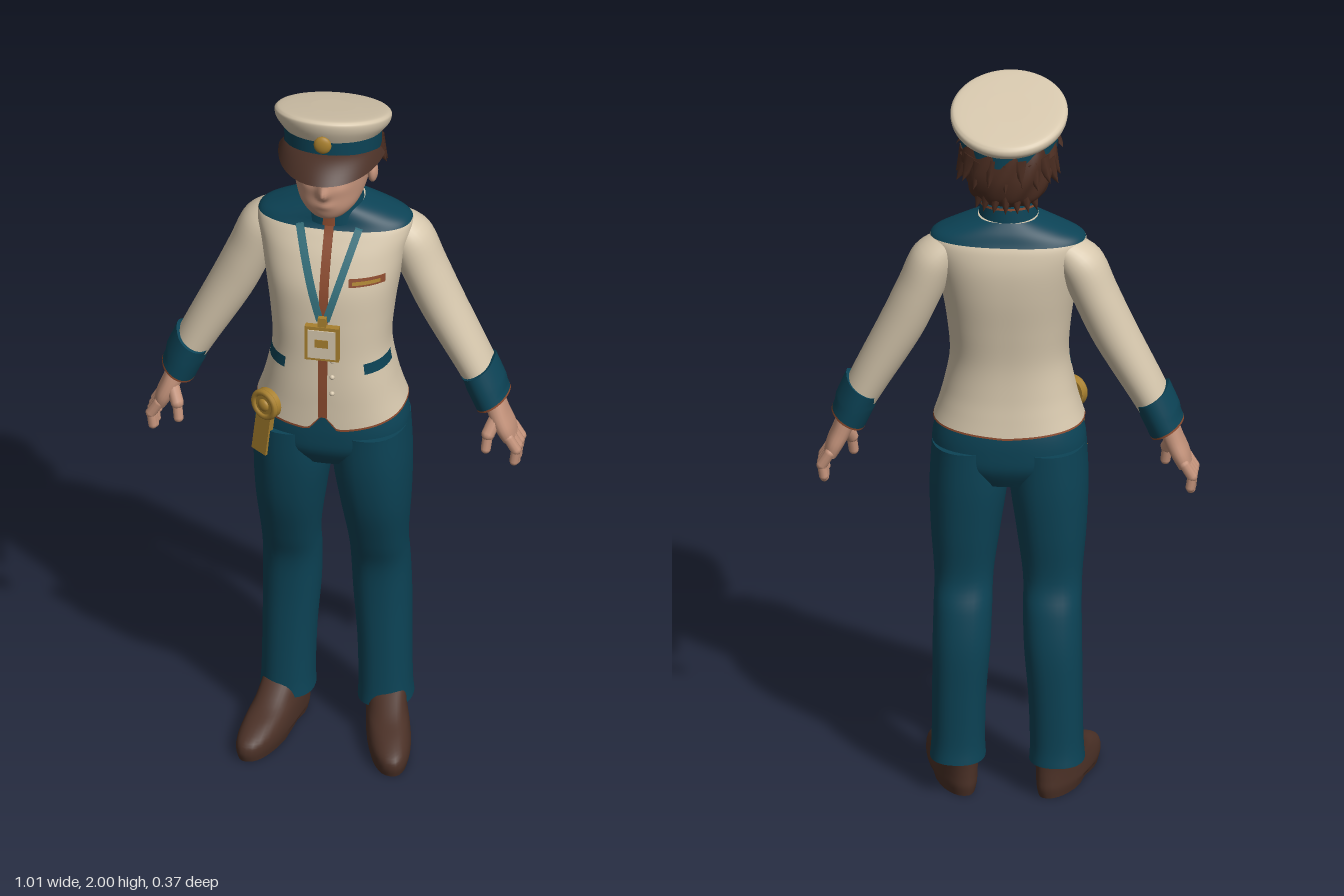
import * as THREE from 'three';
import { ParametricGeometry } from 'three/addons/geometries/ParametricGeometry.js';

const V = (x, y, z) => new THREE.Vector3(x, y, z);
const bell = (d, w) => Math.exp(-(d * d) / (w * w));
const colour = (name, hex) => Object.assign(new THREE.MeshStandardMaterial({ color: hex }), { name });

// Catmull-Rom blend of cross-section rows [x, y, z, radiusA, radiusB, tilt, roll]
function smooth(rows, n) {
  const out = [], at = i => rows[Math.min(Math.max(i, 0), rows.length - 1)];
  for (let i = 0; i < rows.length - 1; i++)
    for (let k = 0; k < n; k++) {
      const t = k / n;
      out.push([0, 1, 2, 3, 4, 5, 6].map(c => {
        const [a, b, d, e] = [at(i - 1), at(i), at(i + 1), at(i + 2)].map(r => r[c] || 0);
        return b + 0.5 * t * (d - a + t * (2 * a - 5 * b + 4 * d - e + t * (3 * (b - d) + e - a)));
      }));
    }
  out.push(rows[rows.length - 1]);
  return out;
}

// Skin over superelliptic rings listed from bottom to top, closed by flat caps.
// warp moves a point; paint picks a material index for each face.
function loft(rows, { per = 32, e = 2, warp, paint = () => 0, colours = 1 } = {}) {
  const pos = [], lists = Array.from({ length: colours }, () => []);
  const bend = c => Math.sign(c) * Math.abs(c) ** (2 / e);
  rows.forEach(([x, y, z, a, b, tilt = 0, roll = 0]) => {
    for (let j = 0; j < per; j++) {
      const t = (j / per) * Math.PI * 2;
      const p = V(a * bend(Math.cos(t)), 0, b * bend(Math.sin(t)));
      p.applyEuler(new THREE.Euler(tilt, 0, roll)).add(V(x, y, z));
      if (warp) warp(p);
      pos.push(p.x, p.y, p.z);
    }
  });
  for (let i = 0; i < rows.length - 1; i++)
    for (let j = 0; j < per; j++) {
      const k = (j + 1) % per, a = i * per + j, b = i * per + k, c = a + per, d = b + per;
      const mid = [0, 1, 2].map(q => (pos[a * 3 + q] + pos[d * 3 + q]) / 2);
      lists[paint(...mid, i)].push(a, c, b, b, c, d);
    }
  for (const end of [0, rows.length - 1]) {
    const base = pos.length / 3, ring = pos.slice(end * per * 3, (end + 1) * per * 3);
    const mid = [0, 1, 2].map(q => ring.reduce((s, v, i) => s + (i % 3 === q ? v : 0), 0) / per);
    pos.push(...ring, ...mid);
    for (let j = 0; j < per; j++) {
      const k = (j + 1) % per;
      lists[0].push(base + per, base + (end ? k : j), base + (end ? j : k));
    }
  }
  const g = new THREE.BufferGeometry();
  g.setAttribute('position', new THREE.Float32BufferAttribute(pos, 3));
  g.setIndex(lists.flat());
  let start = 0;
  if (colours > 1) lists.forEach((l, i) => { g.addGroup(start, l.length, i); start += l.length; });
  g.computeVertexNormals();
  return g;
}

// Front depth of a lofted body, and thin plates bent onto it
function frontZ(rows, e, x, y) {
  let i = 0;
  while (i < rows.length - 2 && rows[i + 1][1] < y) i++;
  const t = Math.min(Math.max((y - rows[i][1]) / (rows[i + 1][1] - rows[i][1]), 0), 1);
  const [z, a, b] = [2, 3, 4].map(c => rows[i][c] + t * (rows[i + 1][c] - rows[i][c]));
  return z + b * Math.max(0, 1 - Math.abs(x / a) ** e) ** (1 / e);
}
function plate(rows, e, [x0, y0], [x1, y1], width, thick = 0.009) {
  const len = Math.hypot(x1 - x0, y1 - y0);
  const g = new THREE.BoxGeometry(width, len, thick, 3, Math.ceil(len / 0.02), 1);
  g.rotateZ(Math.atan2(x0 - x1, y1 - y0)).translate((x0 + x1) / 2, (y0 + y1) / 2, 0.002);
  const p = g.attributes.position;
  for (let i = 0; i < p.count; i++) p.setZ(i, p.getZ(i) + frontZ(rows, e, p.getX(i), p.getY(i)));
  g.computeVertexNormals();
  return g;
}
function rod(a, b, r) {
  const d = b.clone().sub(a), g = new THREE.CapsuleGeometry(r, d.length(), 5, 10);
  g.applyQuaternion(new THREE.Quaternion().setFromUnitVectors(V(0, 1, 0), d.normalize()));
  const m = a.clone().add(b).multiplyScalar(0.5);
  return g.translate(m.x, m.y, m.z);
}
const blob = (x, y, z, a, b, c) => new THREE.SphereGeometry(1, 20, 14).scale(a, b, c).translate(x, y, z);
function mirror(geo) {
  const g = geo.clone().scale(-1, 1, 1), ix = g.index.array;
  for (let i = 0; i < ix.length; i += 3) [ix[i], ix[i + 1]] = [ix[i + 1], ix[i]];
  return g;
}

export function createModel() {
  const model = new THREE.Group();
  model.name = 'uniformedFigure';
  const cream = colour('cream cloth', 0xd6c7ad), teal = colour('teal cloth', 0x0c4356);
  const trim = colour('russet trim', 0x8a4a2e), skin = colour('skin', 0xc4937b);
  const hair = colour('hair', 0x4b2d21), leather = colour('brown leather', 0x4a3026);
  const gold = colour('gold', 0xa8802f), strap = colour('lanyard blue', 0x35707c);
  leather.side = THREE.DoubleSide;
  const add = (name, geo, mat) => {
    const m = new THREE.Mesh(geo, mat);
    m.name = name;
    model.add(m);
    return m;
  };
  const pair = (name, geo, mat) => { add(name + 'Left', geo, mat); add(name + 'Right', mirror(geo), mat); };

  // Jacket with hem notch, pocket flaps and shoulder yoke
  const body = smooth([
    [0, 1.05, -0.028, 0.202, 0.148], [0, 1.1, -0.024, 0.187, 0.144], [0, 1.16, -0.02, 0.173, 0.14],
    [0, 1.25, -0.02, 0.158, 0.136], [0, 1.35, -0.027, 0.165, 0.139], [0, 1.45, -0.038, 0.18, 0.14],
    [0, 1.53, -0.054, 0.195, 0.127], [0, 1.585, -0.065, 0.208, 0.108], [0, 1.615, -0.068, 0.2, 0.093],
    [0, 1.64, -0.066, 0.148, 0.084], [0, 1.665, -0.06, 0.08, 0.072]], 6);
  add('jacket', loft(body, {
    per: 96, e: 2.4, colours: 3,
    warp: p => {
      const w = Math.max(0, 1 - (p.y - 1.05) / 0.13), x = Math.abs(p.x);
      const notch = p.z > 0 ? Math.max(0, 0.04 - x) * 1.3 - 0.2 * p.z : 0;
      p.y += w * (notch + 0.07 * x);
    },
    paint: (x, y, z, row) => {
      if (row === 0) return 2;
      const flap = y > 1.195 && y < 1.238 && Math.abs(x) > 0.105 && z > 0;
      return y > 1.607 || flap ? 1 : 0;
    },
  }), [cream, teal, trim]);
  add('placket', plate(body, 2.4, [0, 1.075], [0, 1.63], 0.024), trim);
  add('chestPocket', plate(body, 2.4, [0.065, 1.483], [0.155, 1.487], 0.02), trim);
  add('chestPin', plate(body, 2.4, [0.075, 1.484], [0.145, 1.487], 0.008, 0.016), gold);
  for (const y of [1.15, 1.2, 1.25]) add('button', blob(0.025, y, frontZ(body, 2.4, 0.025, y), 0.007, 0.007, 0.007), cream);

  // Standing collar with russet edge
  const collar = smooth([[0, 1.63, -0.05, 0.088, 0.084, 0.1], [0, 1.66, -0.05, 0.08, 0.082, 0.12], [0, 1.695, -0.05, 0.074, 0.08, 0.15]], 4);
  add('collar', loft(collar, { colours: 2, paint: (x, y, z, row) => (row > 6 || (z > 0 && Math.abs(x) < 0.015) ? 1 : 0) }), [teal, trim]);

  // Lanyard and pass
  pair('lanyard', plate(body, 2.4, [0.008, 1.375], [0.08, 1.615], 0.02, 0.014), strap);
  const passZ = frontZ(body, 2.4, 0, 1.31) + 0.012;
  add('passFrame', new THREE.BoxGeometry(0.092, 0.104, 0.018).translate(0, 1.312, passZ), gold);
  add('passCard', new THREE.BoxGeometry(0.076, 0.086, 0.006).translate(0, 1.311, passZ + 0.009), cream);
  add('passMark', new THREE.BoxGeometry(0.036, 0.024, 0.004).translate(0, 1.315, passZ + 0.012), gold);
  add('passClip', new THREE.BoxGeometry(0.022, 0.03, 0.014).translate(0, 1.376, passZ), gold);

  // Sleeves and cuffs
  pair('sleeve', loft(smooth([
    [0.415, 1.09, -0.078, 0.046, 0.066, 0, 0.45], [0.37, 1.18, -0.082, 0.052, 0.067, 0, 0.47],
    [0.285, 1.34, -0.088, 0.061, 0.07, 0, 0.48], [0.235, 1.45, -0.09, 0.062, 0.073, 0, 0.45],
    [0.195, 1.54, -0.09, 0.062, 0.072, 0, 0.55], [0.15, 1.583, -0.088, 0.042, 0.055, 0, 0.95]], 5)), cream);
  pair('cuff', loft(smooth([
    [0.425, 1.063, -0.076, 0.051, 0.074, 0, 0.52], [0.405, 1.11, -0.077, 0.052, 0.075, 0, 0.52],
    [0.384, 1.157, -0.078, 0.053, 0.074, 0, 0.52]], 6), {
    warp: p => { if (p.y > 1.11) p.y += 0.015 * bell(p.z + 0.077, 0.04); },
    colours: 2, paint: (x, y, z, row) => (row === 0 ? 1 : 0),
  }), [teal, trim]);

  // Hands
  pair('palm', loft(smooth([
    [0.472, 0.955, -0.07, 0.019, 0.045, 0, 0.4], [0.46, 0.985, -0.068, 0.024, 0.05, 0, 0.4],
    [0.442, 1.025, -0.068, 0.026, 0.045, 0, 0.4], [0.424, 1.075, -0.073, 0.028, 0.036, 0, 0.4]], 4), { per: 20, e: 2.4 }), skin);
  [[-0.107, 0.9], [-0.083, 0.886], [-0.058, 0.884], [-0.034, 0.896]].forEach(([z, y], i) => {
    pair('finger' + i, rod(V(0.473, 0.965, z), V(0.493, 0.932, z), 0.0145), skin);
    pair('fingertip' + i, rod(V(0.493, 0.932, z), V(0.488, y, z), 0.0125), skin);
  });
  pair('thumbBase', rod(V(0.437, 1.02, -0.045), V(0.42, 0.98, -0.022), 0.018), skin);
  pair('thumb', rod(V(0.42, 0.98, -0.022), V(0.415, 0.938, -0.015), 0.0135), skin);

  // Trousers
  add('hips', loft(smooth([
    [0, 0.9, -0.033, 0.13, 0.11], [0, 0.95, -0.031, 0.195, 0.138], [0, 1.0, -0.03, 0.205, 0.143],
    [0, 1.05, -0.029, 0.196, 0.141], [0, 1.1, -0.025, 0.178, 0.134]], 4), { per: 48, e: 2.4 }), teal);
  pair('trouserLeg', loft(smooth([
    [0.132, 0.095, -0.088, 0.074, 0.086], [0.131, 0.15, -0.088, 0.071, 0.082], [0.128, 0.28, -0.092, 0.072, 0.083],
    [0.122, 0.42, -0.094, 0.077, 0.085], [0.119, 0.53, -0.083, 0.078, 0.083], [0.118, 0.62, -0.056, 0.079, 0.088],
    [0.114, 0.75, -0.04, 0.093, 0.117], [0.107, 0.88, -0.033, 0.104, 0.135], [0.104, 1.0, -0.03, 0.101, 0.14]], 5), { e: 2.3 }), teal);

  // Shoes, toes turned outward, raised arch before the heel
  pair('shoe', loft(smooth([
    [0.155, 0, 0.012, 0.054, 0.168], [0.155, 0.025, 0.012, 0.06, 0.173], [0.154, 0.05, 0.007, 0.06, 0.167],
    [0.153, 0.075, -0.016, 0.057, 0.143], [0.153, 0.1, -0.05, 0.053, 0.109], [0.155, 0.14, -0.085, 0.05, 0.072]], 4), {
    e: 2.3,
    warp: p => {
      p.x += 0.22 * p.z - 0.1 * Math.max(0, -0.06 - p.z);
      if (p.y < 0.02) p.y += 0.014 * bell(p.z + 0.02, 0.04);
    },
  }), leather);

  // Head with sculpted eyes, nose and mouth
  const skull = smooth([
    [0, 1.667, 0.04, 0.022, 0.026], [0, 1.68, 0.034, 0.05, 0.052], [0, 1.71, 0.018, 0.078, 0.08],
    [0, 1.75, -0.005, 0.095, 0.104], [0, 1.8, -0.02, 0.104, 0.123], [0, 1.86, -0.03, 0.107, 0.13], [0, 1.91, -0.03, 0.098, 0.12]], 7);
  add('head', loft(skull, {
    per: 80,
    warp: p => {
      if (p.z < 0.02) return;
      const x = Math.abs(p.x);
      p.z += 0.024 * bell(x, 0.016) * bell(p.y - 1.766, 0.02) + 0.01 * bell(x, 0.012) * bell(p.y - 1.79, 0.025)
        - 0.01 * bell(x - 0.042, 0.022) * bell(p.y - 1.795, 0.016) + 0.006 * bell(x, 0.024) * bell(p.y - 1.725, 0.012);
    },
  }), skin);
  add('neck', new THREE.CylinderGeometry(0.055, 0.06, 0.13, 24).translate(0, 1.68, -0.045), skin);
  pair('ear', blob(0.112, 1.785, -0.005, 0.014, 0.032, 0.022), skin);
  pair('brow', plate(skull, 2, [0.025, 1.817], [0.066, 1.823], 0.008, 0.006), hair);

  // Hair: wavy shell, loose locks and fringe
  add('hair', loft(smooth([
    [0, 1.715, -0.085, 0.07, 0.05], [0, 1.74, -0.08, 0.1, 0.076], [0, 1.79, -0.078, 0.118, 0.09],
    [0, 1.84, -0.066, 0.126, 0.1], [0, 1.88, -0.05, 0.122, 0.11]], 5), {
    per: 72, warp: p => { const k = 1 + 0.035 * Math.sin(9 * Math.atan2(p.z + 0.07, p.x) + 50 * p.y); p.x *= k; p.z = -0.07 + (p.z + 0.07) * k; },
  }), hair);
  const lock = (x, y, z, dx, dy, dz, r, len) => {
    const g = new THREE.ConeGeometry(r, len, 8, 3);
    g.applyQuaternion(new THREE.Quaternion().setFromUnitVectors(V(0, 1, 0), V(dx, dy, dz).normalize()));
    add('hairLock', g.translate(x, y, z), hair);
  };
  for (let i = 0; i <= 10; i++) {
    const t = Math.PI * (0.97 + 1.06 * i / 10), c = Math.cos(t), s = Math.sin(t);
    lock(c * 0.122, 1.815 - 0.012 * (i % 2), -0.07 + s * 0.085, c * 0.55, -1, s * 0.45, 0.03, 0.075);
    if (i > 1 && i < 9) lock(c * 0.085, 1.735, -0.08 + s * 0.065, c * 0.4, -1, s * 0.4, 0.028, 0.07);
  }
  for (const x of [-0.09, -0.06, -0.03, 0.01, 0.04, 0.07, 0.095])
    lock(x, 1.838, frontZ(skull, 2, x, 1.83) + 0.002, x * 2, -1, 0.1, 0.02, 0.045);

  // Peaked cap
  add('capBand', loft(smooth([[0, 1.853, -0.03, 0.129, 0.136, -0.12], [0, 1.88, -0.03, 0.13, 0.137, -0.17], [0, 1.908, -0.03, 0.131, 0.139, -0.24]], 4), { per: 48 }), teal);
  add('capCrown', loft(smooth([
    [0, 1.9, -0.03, 0.132, 0.14, -0.22], [0, 1.922, -0.03, 0.15, 0.157, -0.28], [0, 1.94, -0.031, 0.156, 0.164, -0.31],
    [0, 1.951, -0.032, 0.153, 0.16, -0.31], [0, 1.957, -0.033, 0.135, 0.141, -0.31], [0, 1.96, -0.033, 0.06, 0.06, -0.31]], 5), { per: 64 }), cream);
  add('capVisor', new ParametricGeometry((u, v, p) => {
    const t = Math.PI * (0.02 + 0.96 * u), s = Math.sin(t);
    p.set(Math.cos(t) * (0.131 + 0.012 * v), 1.852 + 0.04 * s * (1 - v * v) - 0.012 * v, -0.03 + s * (0.128 + 0.087 * v));
  }, 40, 8), leather);
  add('capBadge', blob(0, 1.932, 0.122, 0.024, 0.026, 0.012), gold);

  // Gold charm hanging at the right hip
  const charm = new THREE.Group();
  charm.name = 'hipCharm';
  const part = (name, g) => { const m = new THREE.Mesh(g, gold); m.name = name; charm.add(m); };
  part('charmDisc', new THREE.CylinderGeometry(0.043, 0.043, 0.022, 28).rotateX(Math.PI / 2).translate(0, 0.08, 0));
  part('charmRim', new THREE.TorusGeometry(0.036, 0.009, 8, 28).translate(0, 0.08, 0.008));
  part('charmBoss', blob(0, 0.08, 0.012, 0.018, 0.018, 0.01));
  part('charmTail', new THREE.BoxGeometry(0.05, 0.13, 0.018).rotateZ(-0.14).translate(-0.012, -0.012, 0));
  charm.position.set(-0.157, 1.0, 0.092);
  charm.rotation.y = -0.55;
  model.add(charm);
  return model;
}
